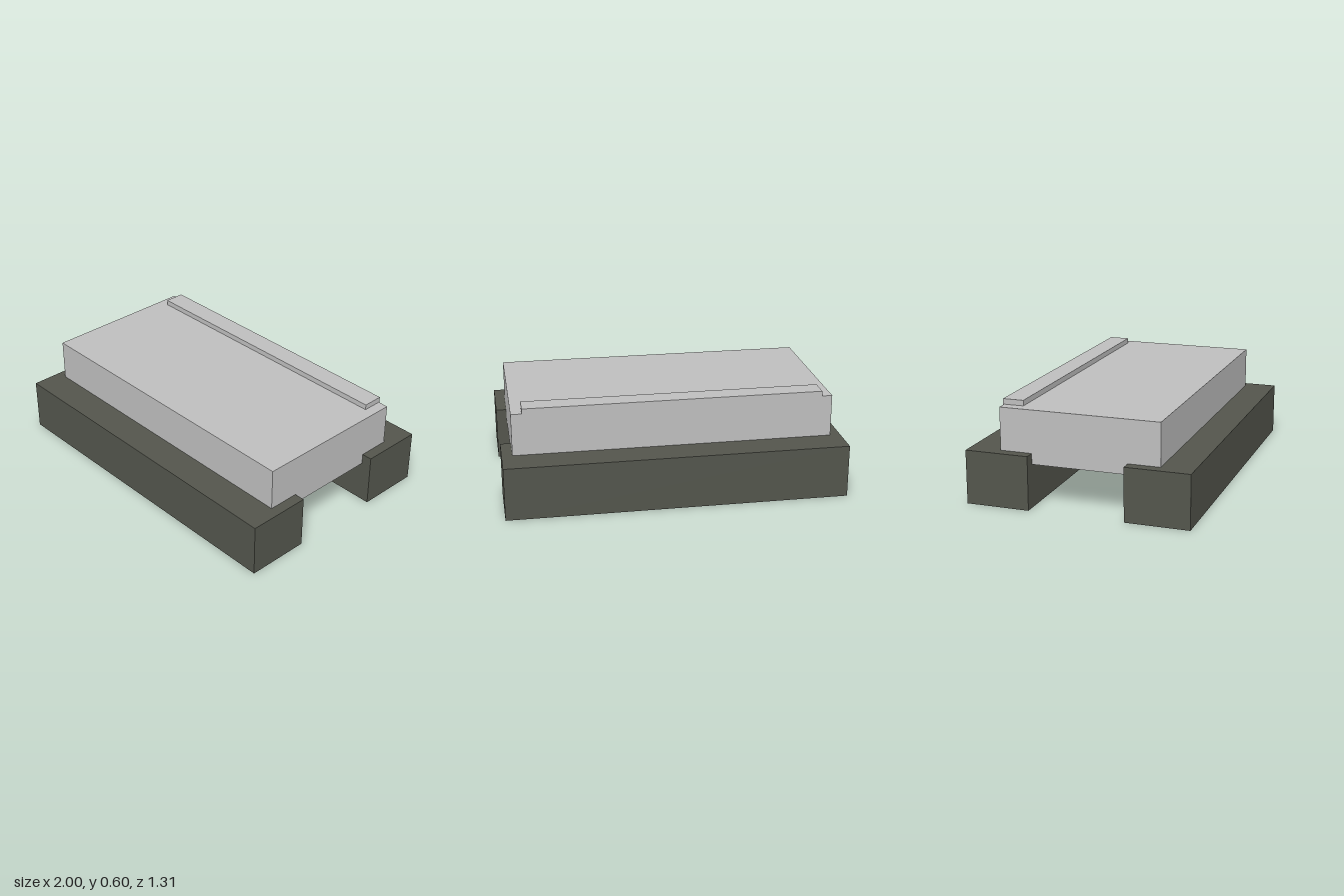
import * as THREE from 'three';

export function createModel() {
  const model = new THREE.Group();
  const lightGrey = new THREE.MeshStandardMaterial({ color: 0xbebebe });
  lightGrey.name = 'lightGrey';
  const darkOlive = new THREE.MeshStandardMaterial({ color: 0x53554c });
  darkOlive.name = 'darkOlive';

  // Box given by its extents on each axis
  function block(name, material, [x0, x1], [y0, y1], [z0, z1]) {
    const mesh = new THREE.Mesh(new THREE.BoxGeometry(x1 - x0, y1 - y0, z1 - z0), material);
    mesh.position.set((x0 + x1) / 2, (y0 + y1) / 2, (z0 + z1) / 2);
    mesh.name = name;
    model.add(mesh);
  }

  // Two long support beams, front and back
  block('frontBeam', darkOlive, [-1, 1], [0, 0.315], [0.281, 0.656]);
  block('backBeam', darkOlive, [-1, 1], [0, 0.315], [-0.656, -0.281]);

  // Slab sunk slightly into the beams
  block('slab', lightGrey, [-0.938, 0.938], [0.252, 0.565], [-0.469, 0.469]);

  // Raised strip overhanging the slab's back edge a little
  block('backStrip', lightGrey, [-0.875, 0.875], [0.56, 0.597], [-0.475, -0.352]);

  return model;
}
